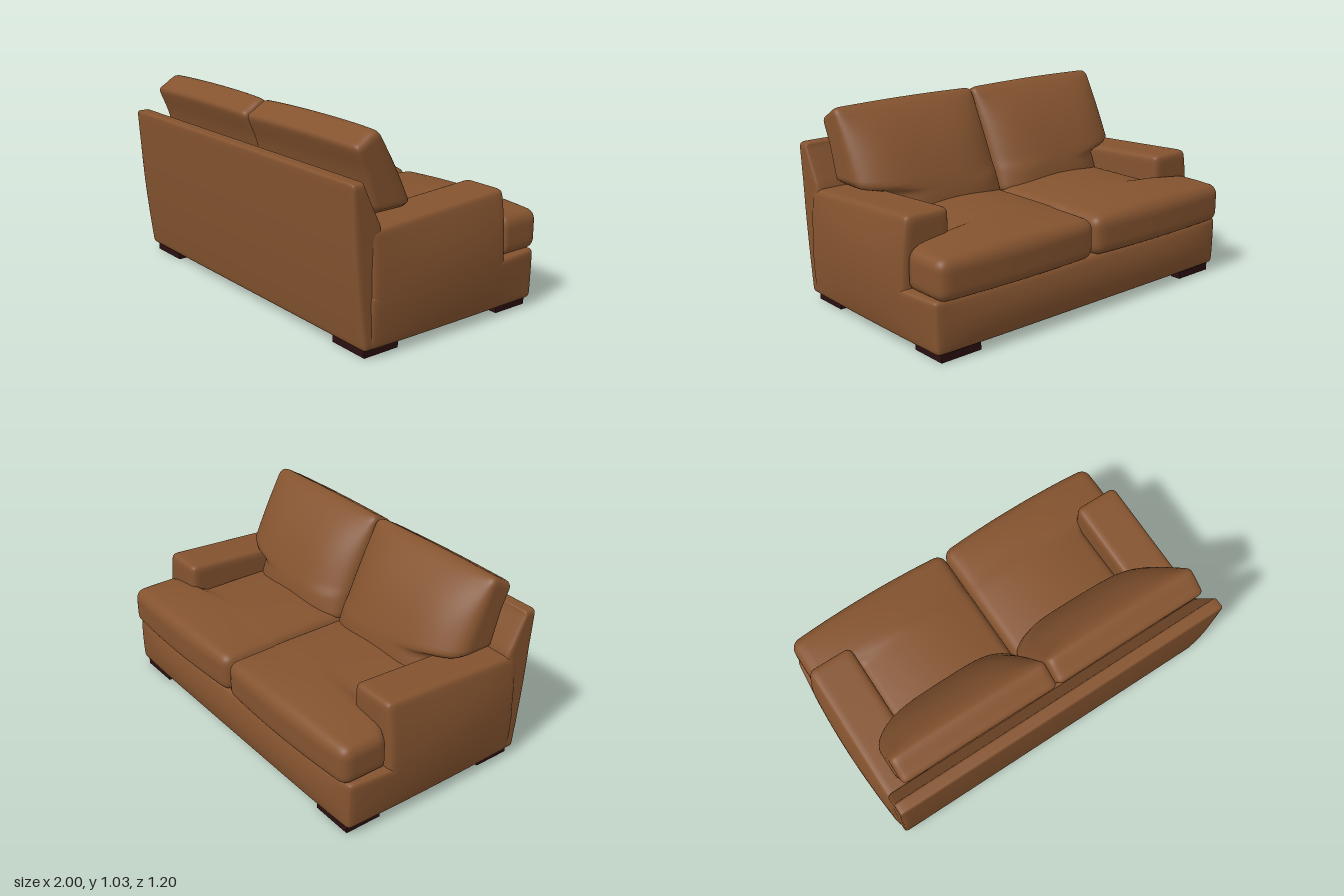
import * as THREE from 'three';
import { mergeVertices } from 'three/addons/utils/BufferGeometryUtils.js';

const { clamp, lerp, smoothstep } = THREE.MathUtils;
const hump = (v, centre, half, p = 2) => Math.max(0, 1 - Math.abs((v - centre) / half) ** p);

// Rounded block between two corners; rows crowd towards the edges, then a rule moves the vertices.
function softBlock(min, max, r, segs, rule) {
  let g = new THREE.BoxGeometry(2, 2, 2, ...segs);
  g.deleteAttribute('normal');
  g.deleteAttribute('uv');
  g = mergeVertices(g);
  const pos = g.attributes.position;
  const lo = new THREE.Vector3(...min), hi = new THREE.Vector3(...max);
  const mid = lo.clone().add(hi).multiplyScalar(0.5);
  const half = hi.clone().sub(lo).multiplyScalar(0.5);
  const core = half.clone().subScalar(r);
  const p = new THREE.Vector3(), c = new THREE.Vector3();
  for (let i = 0; i < pos.count; i++) {
    p.fromBufferAttribute(pos, i);
    for (const a of ['x', 'y', 'z']) {
      p[a] = Math.sin(p[a] * Math.PI / 2) * half[a];
      c[a] = clamp(p[a], -core[a], core[a]);
    }
    p.sub(c).setLength(r).add(c).add(mid);
    rule(p);
    pos.setXYZ(i, p.x, p.y, p.z);
  }
  g.computeVertexNormals();
  return g;
}

// Outward swell shared by the base and the arms
function swellSides(p) {
  const amount = 0.04 * hump(p.y, 0.32, 0.3) * hump(p.z, 0, 0.6);
  p.x += Math.sign(p.x) * amount * smoothstep(Math.abs(p.x), 0.72, 0.94);
}

export function createModel() {
  const model = new THREE.Group();
  model.name = 'sofa';
  const leather = new THREE.MeshStandardMaterial({ color: 0x84532f });
  leather.name = 'brown leather';
  const wood = new THREE.MeshStandardMaterial({ color: 0x2a0f10 });
  wood.name = 'dark wood';
  const add = (name, geometry, material) => {
    const mesh = new THREE.Mesh(geometry, material);
    mesh.name = name;
    model.add(mesh);
    return mesh;
  };

  // Base with a padded front panel
  add('base', softBlock([-0.96, 0.04, -0.55], [0.96, 0.305, 0.5], 0.025, [32, 18, 28], (p) => {
    swellSides(p);
    if (p.z < -0.5) p.z -= 0.03 * hump(p.y, 0.17, 0.14) * hump(p.x, 0, 0.97, 6);
  }), leather);

  // Backrest leaning outwards, tapering to a narrow top
  add('backrest', softBlock([-0.96, 0.04, 0.44], [0.96, 0.83, 0.6], 0.025, [28, 32, 12], (p) => {
    const k = (p.z - 0.44) / 0.16;
    const t = (p.y - 0.04) / 0.79;
    const front = 0.43 + 0.1 * clamp((p.y - 0.61) / 0.2, 0, 1);
    const back = 0.53 + 0.07 * t + 0.012 * Math.sin(Math.PI * t);
    p.z = lerp(front, back, k);
    p.x *= 1 - 0.006 * t;
  }), leather);

  for (const side of [-1, 1]) {
    const label = side > 0 ? 'left' : 'right';
    const span = (a, b) => (side > 0 ? [a, b] : [-b, -a]);

    // Arm with a top that falls towards the back
    const [a0, a1] = span(0.71, 0.96);
    add(label + 'Arm', softBlock([a0, 0.04, -0.33], [a1, 0.65, 0.5], 0.035, [14, 24, 28], (p) => {
      swellSides(p);
      p.y -= 0.055 * (p.z + 0.3) * smoothstep(p.y, 0.3, 0.65);
    }), leather);

    // Seat cushion: wide in front of the arm, narrow behind it, with a crowned top
    const [s0, s1] = span(0.003, 0.96);
    add(label + 'SeatCushion', softBlock([s0, 0.295, -0.6], [s1, 0.5, 0.42], 0.055, [28, 16, 48], (p) => {
      const u = (Math.abs(p.x) - 0.48) / 0.48;
      if (p.y > 0.4) {
        p.y += 0.045 * hump(u, 0, 1) * hump(p.z, -0.1, 0.5, 4) * smoothstep(p.y, 0.4, 0.5);
      }
      if (p.z < -0.5) p.z += 0.02 * u * u;
      p.x *= lerp(1, 0.72 / 0.96, smoothstep(p.z, -0.335, -0.27));
    }), leather);

    // Back cushion: leaning slab with a full front and an ear above the arm
    const [b0, b1] = span(0.003, 0.87);
    add(label + 'BackCushion', softBlock([b0, 0.48, 0.15], [b1, 1.02, 0.35], 0.035, [30, 36, 14], (p) => {
      const t = (p.y - 0.48) / 0.54;
      const k = (p.z - 0.15) / 0.2;
      const u = (Math.abs(p.x) - 0.437) / 0.435;
      const puff = 0.115 * hump(u, 0, 1, 4) * hump(t, 0.42, 0.6, 2.6);
      p.z = lerp(0.13 + 0.25 * t - puff, 0.365 + 0.15 * t, k);
      p.y += smoothstep(t, 0.6, 1) * (0.008 * hump(u, 0, 1) - 0.055 * smoothstep(k, 0.1, 1));
      p.x *= lerp(0.715 / 0.87, 1, smoothstep(p.y, 0.6, 0.65));
    }), leather);

    // L-shaped corner feet
    for (const end of [-1, 1]) {
      const x = side * 0.93, z = end > 0 ? 0.51 : -0.535;
      const dx = -side, dz = -end, thick = 0.06;
      const corners = [[0, 0], [0.23, 0], [0.23, thick], [thick, thick], [thick, 0.2], [0, 0.2]];
      const shape = new THREE.Shape(corners.map(([a, b]) => new THREE.Vector2(x + dx * a, -(z + dz * b))));
      const foot = new THREE.ExtrudeGeometry(shape, { depth: 0.045, bevelEnabled: false });
      foot.rotateX(-Math.PI / 2);
      add(label + (end > 0 ? 'BackFoot' : 'FrontFoot'), foot, wood);
    }
  }
  return model;
}
